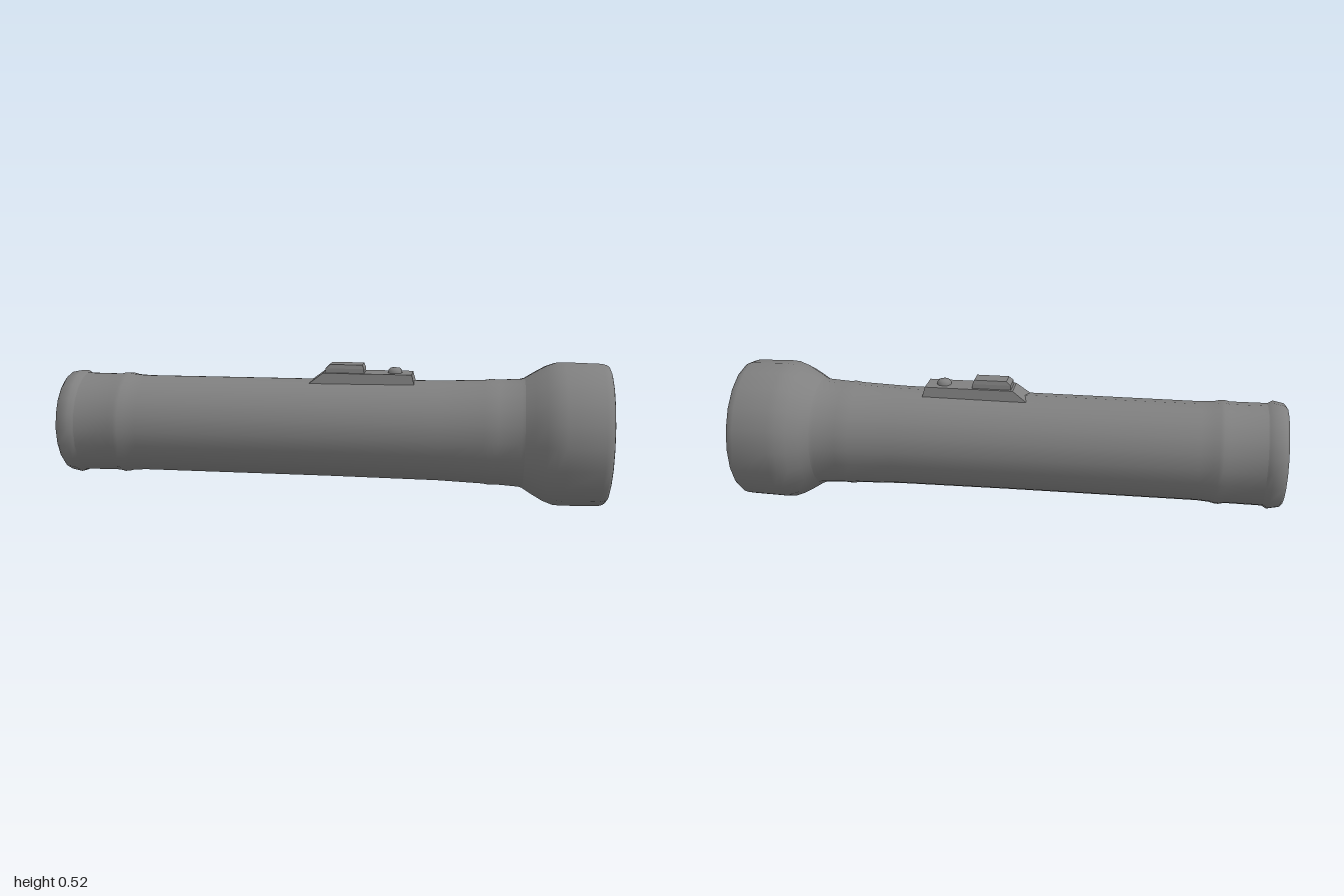
import * as THREE from 'three';
import { toCreasedNormals } from 'three/addons/utils/BufferGeometryUtils.js';

const AXIS_Y = 0.26;
const material = new THREE.MeshStandardMaterial({ color: 0x808080 });

function addMesh(parent, name, geometry) {
  const mesh = new THREE.Mesh(geometry, material);
  mesh.name = name;
  parent.add(mesh);
  return mesh;
}

// Turned part along x, from [x, radius] pairs
function turned(profile, sides, crease = 1.1) {
  const g = new THREE.LatheGeometry(profile.map(([x, r]) => new THREE.Vector2(r, x)), sides);
  g.rotateZ(-Math.PI / 2);
  return toCreasedNormals(g, crease);
}

// Box whose top face is pulled in: back (-x), front (+x) and sides (z)
function taperedBox(x0, x1, y0, y1, halfZ, back, front, side) {
  const g = new THREE.BoxGeometry(1, 1, 1);
  const p = g.attributes.position;
  for (let i = 0; i < p.count; i++) {
    const top = p.getY(i) > 0 ? 1 : 0;
    const x = p.getX(i) < 0 ? x0 + back * top : x1 - front * top;
    p.setXYZ(i, x, top ? y1 : y0, Math.sign(p.getZ(i)) * (halfZ - side * top));
  }
  return toCreasedNormals(g, 0.3);
}

export function createModel() {
  const model = new THREE.Group();
  model.name = 'flashlight';
  const turnedParts = new THREE.Group();
  turnedParts.name = 'turnedParts';
  turnedParts.position.y = AXIS_Y;
  model.add(turnedParts);

  // Tail cap with recessed end
  addMesh(turnedParts, 'tailCap', turned([
    [-0.955, 0], [-0.955, 0.135], [-0.985, 0.145], [-0.998, 0.155],
    [-1, 0.175], [-0.99, 0.187], [-0.95, 0.195], [-0.935, 0.186], [-0.92, 0.183],
  ], 20, 0.9));

  // Barrel with low ridges at both ends
  addMesh(turnedParts, 'barrel', turned([
    [-0.935, 0.185], [-0.8, 0.184], [-0.78, 0.189], [-0.765, 0.188], [-0.745, 0.183],
    [-0.7, 0.18], [0, 0.181], [0.4, 0.184], [0.56, 0.19], [0.585, 0.194],
    [0.61, 0.192], [0.69, 0.197], [0.71, 0.204],
  ], 20));

  // Flared head rolling over into the rim
  addMesh(turnedParts, 'head', turned([
    [0.7, 0.2], [0.735, 0.222], [0.775, 0.245], [0.81, 0.258], [0.84, 0.26],
    [0.97, 0.257], [0.987, 0.252], [0.997, 0.244], [1, 0.234], [0.996, 0.222], [0.985, 0.21],
  ], 20));

  // Straight-sided reflector
  addMesh(turnedParts, 'reflector', turned([
    [0.985, 0.21], [0.972, 0.203], [0.79, 0.062], [0.78, 0.045], [0.78, 0],
  ], 20));

  // Pointed bulb
  addMesh(turnedParts, 'bulb', turned([
    [0.775, 0.035], [0.84, 0.04], [0.87, 0.049], [0.89, 0.046], [0.94, 0.012], [0.945, 0],
  ], 9));

  // Folded hanging ring and its hinge in the tail recess
  const ring = addMesh(turnedParts, 'hangingRing', new THREE.TorusGeometry(0.108, 0.011, 6, 20));
  ring.rotation.y = Math.PI / 2;
  ring.position.set(-0.97, -0.01, 0);
  const bracket = addMesh(turnedParts, 'ringBracket', new THREE.BoxGeometry(0.035, 0.06, 0.07));
  bracket.position.set(-0.968, 0.08, 0);
  for (const side of [-1, 1]) {
    const hinge = addMesh(turnedParts, 'ringHinge', new THREE.CylinderGeometry(0.016, 0.016, 0.03, 8));
    hinge.rotation.x = Math.PI / 2;
    hinge.position.set(-0.972, 0.08, side * 0.05);
  }

  // Switch plate, slider and signal button
  addMesh(model, 'switchPlate', taperedBox(-0.085, 0.31, 0.425, 0.47, 0.057, 0.06, 0.012, 0.008));
  addMesh(model, 'switchSlider', taperedBox(-0.018, 0.126, 0.465, 0.486, 0.038, 0.002, 0.002, 0.002));
  addMesh(model, 'sliderTop', taperedBox(-0.016, 0.124, 0.486, 0.5, 0.036, 0.016, 0.006, 0.004));
  const button = addMesh(model, 'signalButton', toCreasedNormals(new THREE.LatheGeometry([
    new THREE.Vector2(0.027, 0), new THREE.Vector2(0.026, 0.012),
    new THREE.Vector2(0.019, 0.02), new THREE.Vector2(0, 0.023),
  ], 10), 1));
  button.position.set(0.235, 0.467, 0);

  return model;
}
